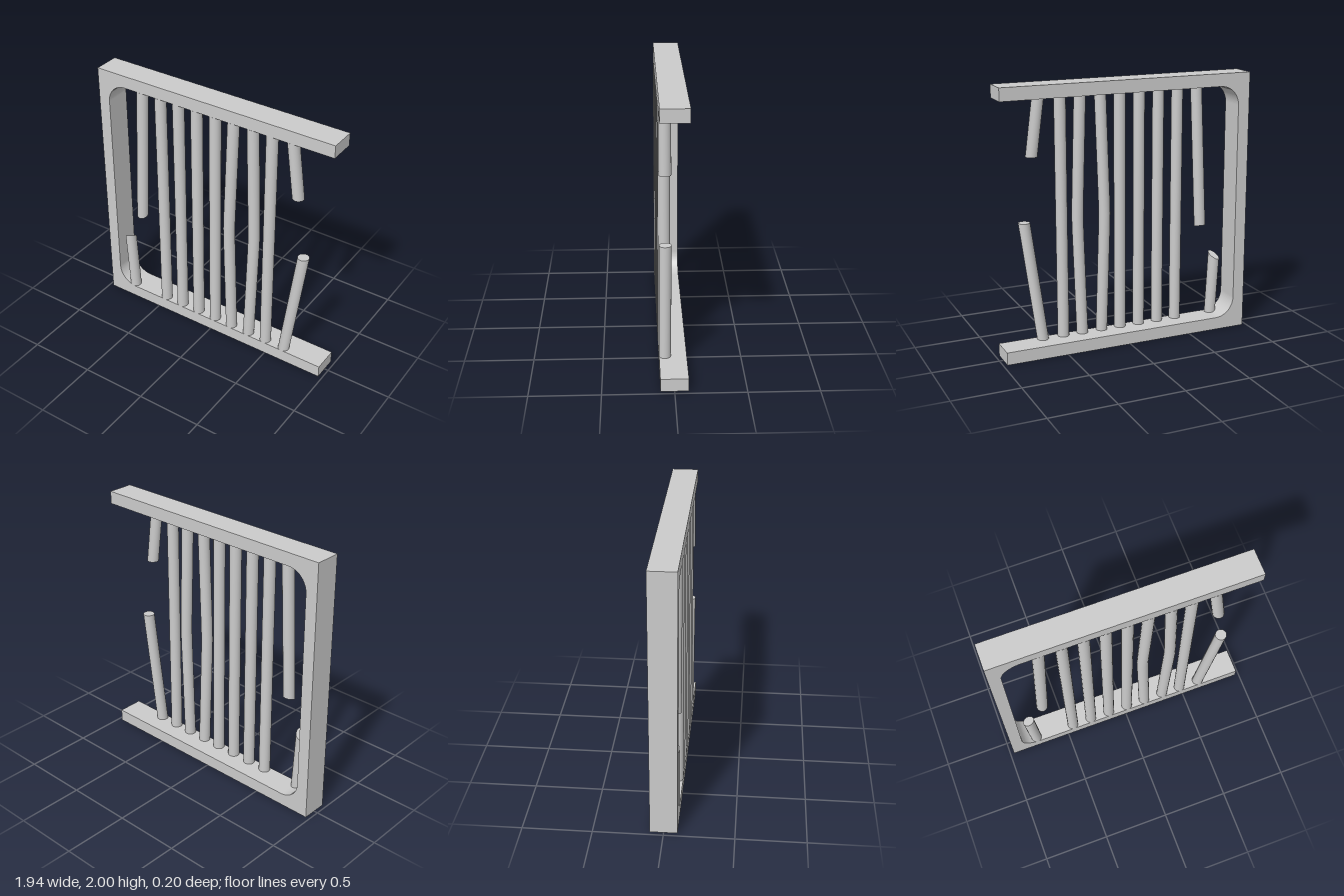
import * as THREE from 'three';

const LOW = 0.095, HIGH = 1.905; // inner faces of the bottom and top rails
const R = 0.043, BAR_Z = 0.057;

// Bar following [x, y] points with level rings; tilts [dx, dz] slant its bottom and top cuts
function makeBar(name, points, bottomTilt = [0, 0], topTilt = [0, 0]) {
  const last = points.length - 1;
  const geo = new THREE.CylinderGeometry(R, R, last, 20, last);
  const pos = geo.attributes.position;
  for (let i = 0; i < pos.count; i++) {
    const k = Math.round(pos.getY(i) + last / 2);
    const [cx, cy] = points[k];
    const tilt = k === 0 ? bottomTilt : k === last ? topTilt : [0, 0];
    const dx = pos.getX(i), dz = pos.getZ(i);
    pos.setXYZ(i, cx + dx, cy + tilt[0] * dx + tilt[1] * dz, BAR_Z + dz);
  }
  // Keep the cylinder's radial normals, which stay smooth around each bar
  const mesh = new THREE.Mesh(geo, new THREE.MeshStandardMaterial({ color: 0xcccccc }));
  mesh.name = name;
  return mesh;
}

// C-shaped frame, open on one side, with rounded inner corners
function makeFrame() {
  const s = new THREE.Shape();
  const ix = -0.88, r = 0.15;
  s.moveTo(-0.97, 0);
  s.lineTo(0.97, 0);
  s.lineTo(0.97, LOW);
  s.lineTo(ix + r, LOW);
  s.absarc(ix + r, LOW + r, r, -Math.PI / 2, -Math.PI, true);
  s.lineTo(ix, HIGH - r);
  s.absarc(ix + r, HIGH - r, r, Math.PI, Math.PI / 2, true);
  s.lineTo(0.97, HIGH);
  s.lineTo(0.97, 2);
  s.lineTo(-0.97, 2);
  s.closePath();
  const geo = new THREE.ExtrudeGeometry(s, { depth: 0.196, bevelEnabled: false, curveSegments: 12 });
  geo.translate(0, 0, -0.098);
  const mesh = new THREE.Mesh(geo, new THREE.MeshStandardMaterial({ color: 0xcccccc }));
  mesh.name = 'frame';
  return mesh;
}

export function createModel() {
  const model = new THREE.Group();
  model.name = 'brokenBarredWindow';
  model.add(makeFrame());

  // Intact straight bars
  [-0.445, -0.29, -0.135, 0.02, 0.48].forEach((x, i) => {
    model.add(makeBar(`straightBar${i + 1}`, [[x, LOW], [x, HIGH]]));
  });

  // Two bars bent apart at mid height
  for (const [name, x, bend] of [['bentBarRight', 0.172, -0.03], ['bentBarLeft', 0.328, 0.028]]) {
    model.add(makeBar(name, [
      [x, LOW], [x + bend * 0.9, 0.88], [x + bend, 1],
      [x + bend * 0.9, 1.12], [x, HIGH],
    ]));
  }

  // Snapped bars: hanging upper pieces and standing lower stubs
  model.add(makeBar('brokenUpperBarRight', [[-0.655, 0.813], [-0.602, HIGH]], [0, -0.25]));
  model.add(makeBar('brokenLowerBarRight', [[-0.758, LOW], [-0.784, 0.56]], [0, 0], [0.45, 0.55]));
  model.add(makeBar('brokenUpperBarLeft', [[0.7, 1.475], [0.642, HIGH]]));
  model.add(makeBar('brokenLowerBarLeft', [[0.642, LOW], [0.766, 1]]));
  return model;
}
